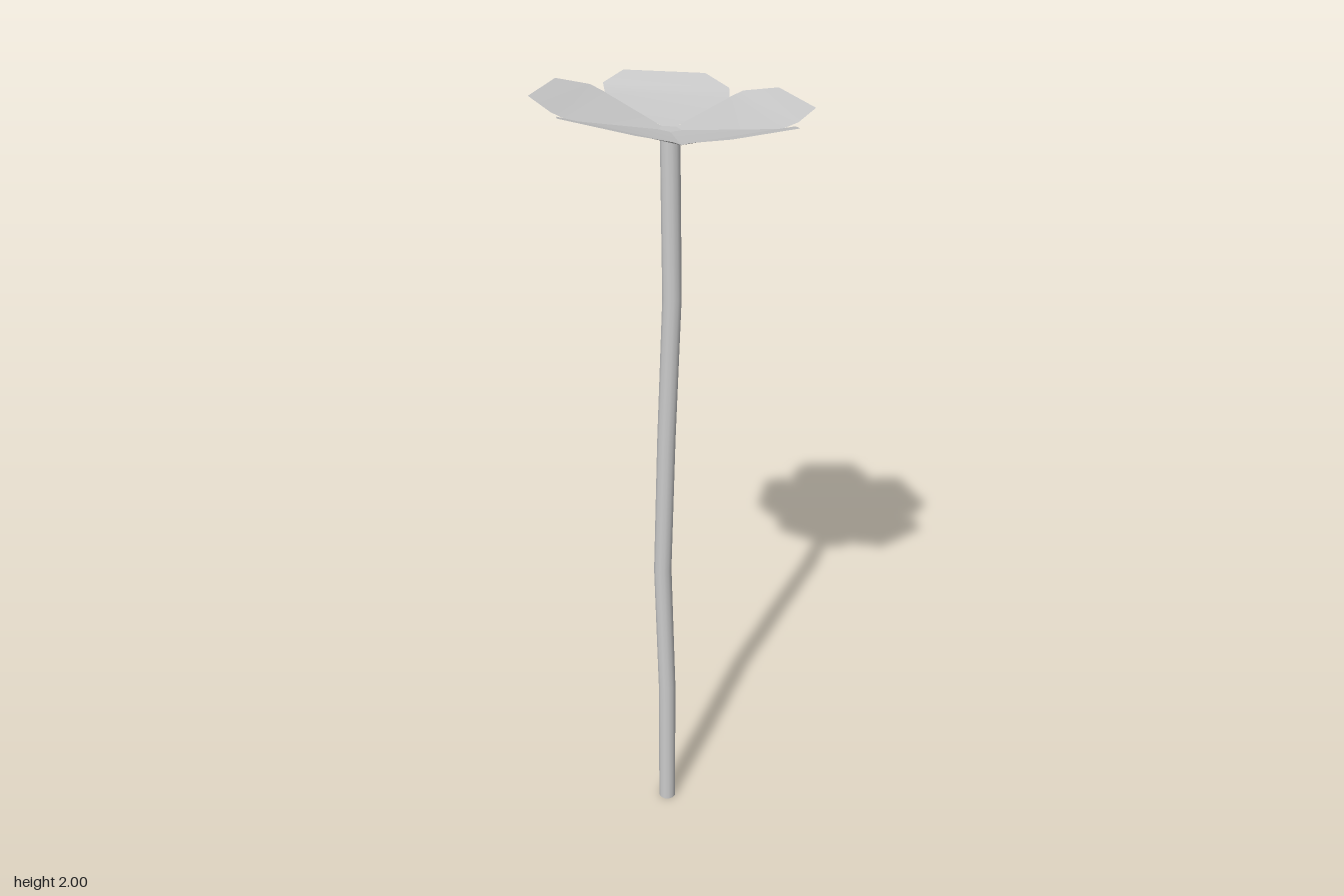
import * as THREE from 'three';

const STEM_TOP = 1.91;

// Stem centre line, one [x, z] for each evenly spaced ring from bottom to top
const STEM_LINE = [
  [0.022, -0.052], [0.02, -0.049], [0.002, -0.043],
  [-0.007, -0.017], [-0.012, 0.01], [-0.012, 0.004],
];

// Half outline of a petal: distance along, half width, rise
const PETAL_ROWS = [
  [0.021, 0.015, 0], [0.186, 0.137, 0.026],
  [0.223, 0.14, 0.04], [0.287, 0.092, 0.0565],
];

// Flower cup leans: higher on its right, slightly higher in front
const cupHeight = (x, z, rise) => 1.912 + rise - 0.105 * x + 0.033 * z;

function createStem(material) {
  const rings = STEM_LINE.length - 1;
  const geometry = new THREE.CylinderGeometry(0.022, 0.022, STEM_TOP, 12, rings);
  geometry.translate(0, STEM_TOP / 2, 0);
  const pos = geometry.attributes.position;
  for (let i = 0; i < pos.count; i++) {
    const [dx, dz] = STEM_LINE[Math.round((pos.getY(i) / STEM_TOP) * rings)];
    pos.setX(i, pos.getX(i) + dx);
    pos.setZ(i, pos.getZ(i) + dz);
  }
  const stem = new THREE.Mesh(geometry, material);
  stem.name = 'stem';
  return stem;
}

// Open surface from flat points, wound to face upward
function surface(points, index, material, name) {
  const geometry = new THREE.BufferGeometry();
  geometry.setAttribute('position', new THREE.Float32BufferAttribute(points, 3));
  geometry.setIndex(index);
  geometry.computeVertexNormals();
  const mesh = new THREE.Mesh(geometry, material);
  mesh.name = name;
  return mesh;
}

function createPetal(angle, material) {
  const c = Math.cos(angle), s = Math.sin(angle);
  const points = [], index = [];
  PETAL_ROWS.forEach(([along, half, rise], row) => {
    const shift = row === 0 ? -0.01 : 0;
    for (const v of [-half, half]) {
      const x = along * c - v * s + shift;
      const z = along * s + v * c;
      points.push(x, cupHeight(x, z, rise), z);
    }
    if (row > 0) {
      const a = 2 * (row - 1);
      index.push(a, a + 1, a + 2, a + 1, a + 3, a + 2);
    }
  });
  return surface(points, index, material, 'petal');
}

function createFlowerCentre(material) {
  const points = [], index = [];
  for (let i = 0; i < 5; i++) {
    const angle = Math.PI * (0.3 + 0.4 * i);
    const x = 0.026 * Math.cos(angle) - 0.01;
    const z = 0.026 * Math.sin(angle);
    points.push(x, cupHeight(x, z, 0), z);
    if (i > 1) index.push(0, i, i - 1);
  }
  return surface(points, index, material, 'flowerCentre');
}

export function createModel() {
  const stemGrey = new THREE.MeshStandardMaterial({ color: 0xcccccc });
  stemGrey.name = 'light grey';
  const petalGrey = new THREE.MeshStandardMaterial({ color: 0xcccccc, side: THREE.DoubleSide });
  petalGrey.name = 'light grey petals';

  // Five petals around the centre, the first one facing the front
  const flower = new THREE.Group();
  flower.name = 'flower';
  for (let i = 0; i < 5; i++) {
    flower.add(createPetal(Math.PI * (0.5 + 0.4 * i), petalGrey));
  }
  flower.add(createFlowerCentre(petalGrey));

  const model = new THREE.Group();
  model.name = 'flowerOnStem';
  model.add(createStem(stemGrey), flower);
  return model;
}
